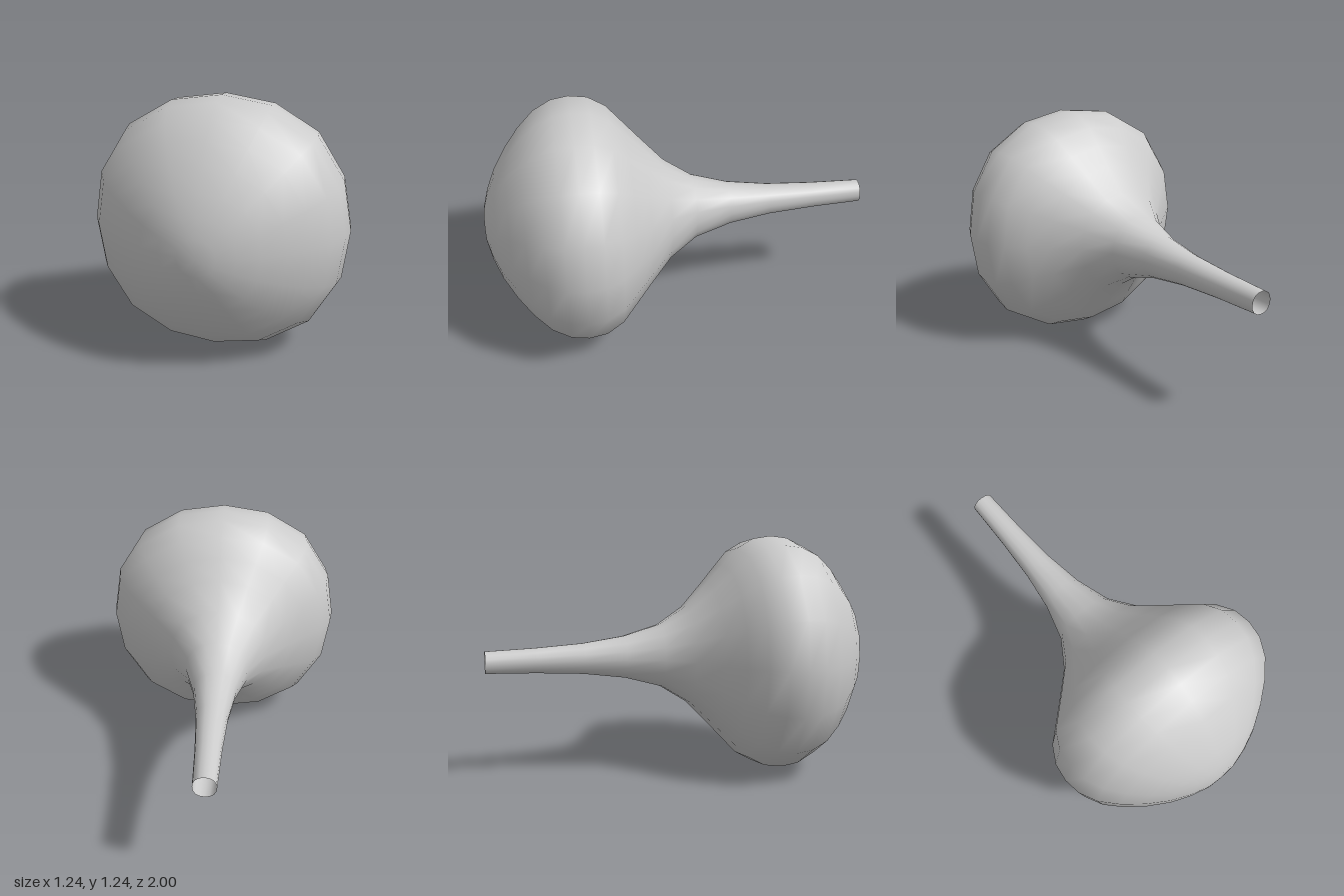
import * as THREE from 'three';
import { mergeVertices } from 'three/addons/utils/BufferGeometryUtils.js';

// Outline as [radius, z], from the open neck end to the tip of the dome
const PROFILE = [
  [0.057, -1], [0.065, -0.745], [0.08, -0.5], [0.11, -0.285], [0.165, -0.093],
  [0.257, 0.05], [0.38, 0.167], [0.47, 0.25], [0.557, 0.33], [0.607, 0.42],
  [0.62, 0.515], [0.607, 0.607], [0.56, 0.7], [0.48, 0.785], [0.385, 0.86],
  [0.28, 0.925], [0.18, 0.968], [0.09, 0.993], [0, 1],
];
const SIDES = 16;

export function createModel() {
  const group = new THREE.Group();
  group.name = 'flaredBulb';

  const points = PROFILE.map(([r, z]) => new THREE.Vector2(r, z));
  let geometry = new THREE.LatheGeometry(points, SIDES);
  geometry.rotateX(Math.PI / 2);

  // The cross-section is slightly squarish: fuller along the diagonals
  const pos = geometry.attributes.position;
  for (let i = 0; i < pos.count; i++) {
    const x = pos.getX(i), y = pos.getY(i);
    const swell = 1 + 0.035 * Math.sin(2 * Math.atan2(y, x)) ** 2;
    pos.setXY(i, x * swell, y * swell);
  }

  // Weld the seam so that the shading is smooth all round
  geometry.deleteAttribute('uv');
  geometry.deleteAttribute('normal');
  geometry = mergeVertices(geometry, 1e-4);
  geometry.computeVertexNormals();

  const body = new THREE.Mesh(
    geometry,
    new THREE.MeshStandardMaterial({ color: 0xcccccc, side: THREE.DoubleSide })
  );
  body.name = 'bulbAndNeck';
  body.position.y = 0.625;
  group.add(body);
  return group;
}
